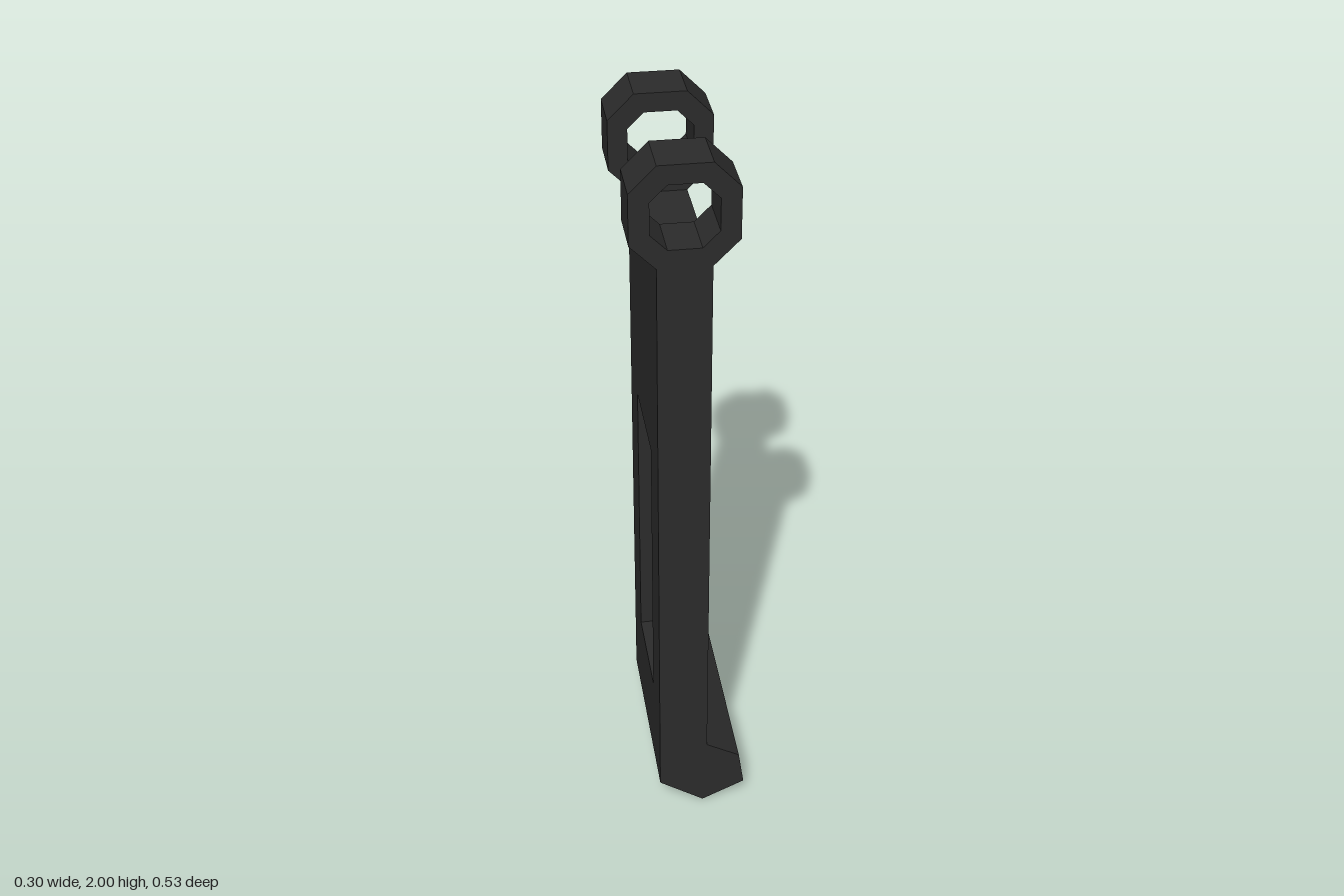
import * as THREE from 'three';

const HALF_DEPTH = 0.265; // half of the overall z extent
const SLOT = 0.133;       // half width of the window and of the gap between the lugs
const BACK = -0.088, FRONT = 0.045; // x faces of the arm
const FOOT_TOP = 0.213, ARM_TOP = 1.738;

const points = (list) => list.map(([x, y]) => new THREE.Vector2(x, y));

const rectangle = (x0, y0, x1, y1) => points([[x0, y0], [x1, y0], [x1, y1], [x0, y1]]);

// Chamfered square: half size r, corners cut back to half of r
function octagon(cx, cy, r) {
  const h = r / 2;
  return points([[h, -r], [r, -h], [r, h], [h, r], [-h, r], [-r, h], [-r, -h], [-h, -r]]
    .map(([x, y]) => [cx + x, cy + y]));
}

function extrude(outline, depth, hole) {
  const shape = new THREE.Shape(outline);
  if (hole) shape.holes.push(new THREE.Path(hole));
  return new THREE.ExtrudeGeometry(shape, { depth, bevelEnabled: false });
}

export function createModel() {
  const group = new THREE.Group();
  const material = new THREE.MeshStandardMaterial({ color: 0x2b2b2b, flatShading: true });
  const add = (name, geometry) => {
    const mesh = new THREE.Mesh(geometry, material);
    mesh.name = name;
    group.add(mesh);
  };

  // Flat arm with a rectangular window, drawn in z/y and extruded along x
  const arm = extrude(
    rectangle(-HALF_DEPTH, FOOT_TOP, HALF_DEPTH, ARM_TOP), FRONT - BACK,
    rectangle(-SLOT, 0.345, SLOT, 1.145));
  arm.rotateY(Math.PI / 2).translate(BACK, 0, 0);
  add('arm', arm);

  // Hooked foot, drawn in x/y and extruded along z
  const foot = extrude(points([
    [BACK, FOOT_TOP], [BACK, 0.083], [0.034, 0], [0.152, 0.056], [0.137, 0.16], [FRONT, FOOT_TOP],
  ]), 2 * HALF_DEPTH);
  foot.translate(0, 0, -HALF_DEPTH);
  add('hookFoot', foot);

  // Pair of octagonal hinge lugs with octagonal eyes
  for (const [name, z] of [['frontLug', SLOT], ['backLug', -HALF_DEPTH]]) {
    const lug = extrude(octagon(-0.021, 1.869, 0.131), HALF_DEPTH - SLOT, octagon(-0.021, 1.869, 0.082));
    lug.translate(0, 0, z);
    add(name, lug);
  }

  return group;
}
